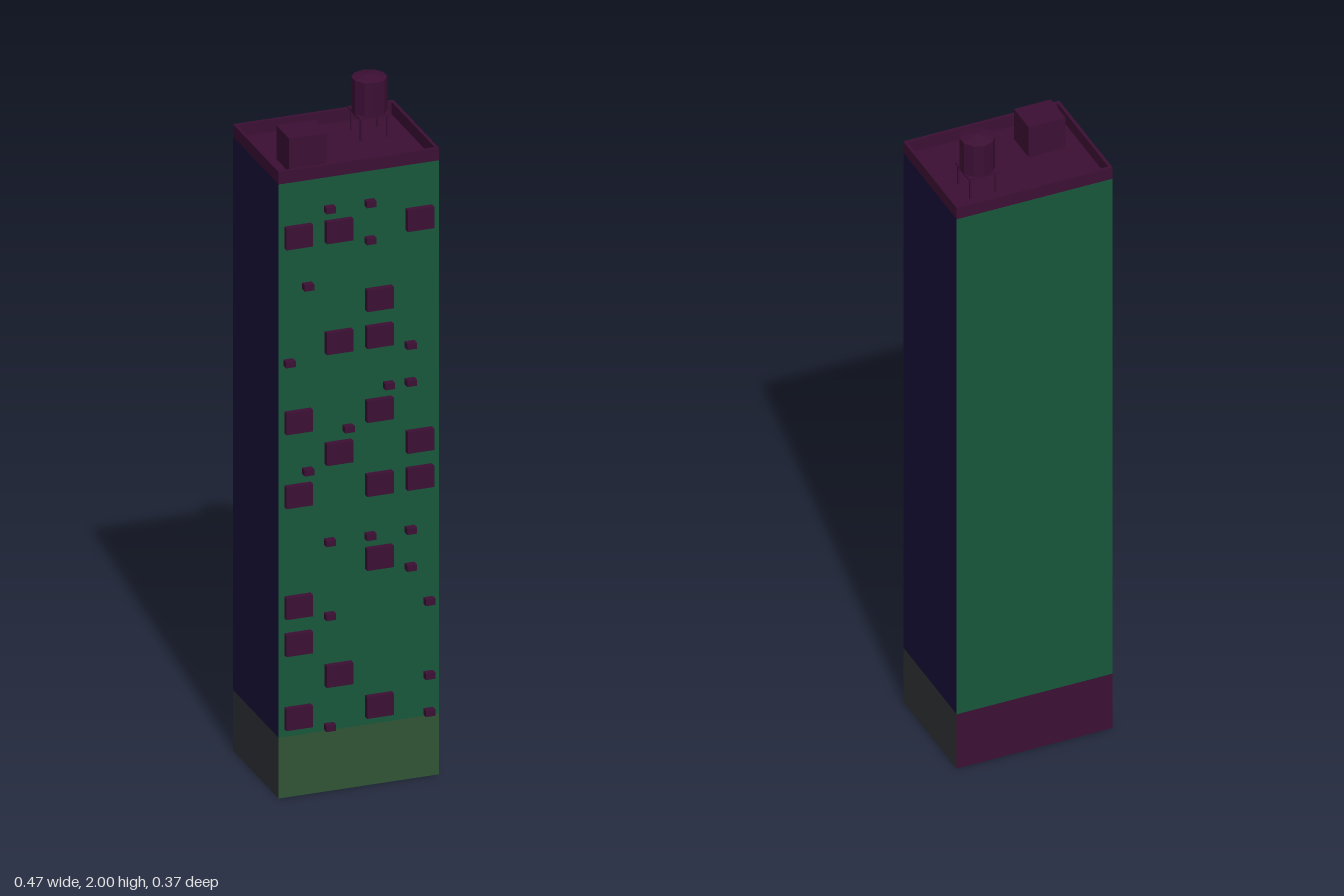
import * as THREE from 'three';

const mat = (color) => new THREE.MeshStandardMaterial({ color, flatShading: true, side: THREE.DoubleSide });

export function createModel() {
  const model = new THREE.Group();
  const green = mat(0x17573a), navy = mat(0x181038), plum = mat(0x3c0f34);
  const olive = mat(0x305434), grey = mat(0x303236);

  const X = 0.233, ZF = 0.163, ZB = -0.186, BASE = 0.18, ROOF = 1.82, TOP = 1.857;
  const depth = ZF - ZB, zMid = (ZF + ZB) / 2;

  const add = (parent, name, geometry, material, x, y, z) => {
    const mesh = new THREE.Mesh(geometry, material);
    mesh.name = name;
    mesh.position.set(x, y, z);
    parent.add(mesh);
    return mesh;
  };
  const box = (parent, name, w, h, d, material, x, y, z) =>
    add(parent, name, new THREE.BoxGeometry(w, h, d), material, x, y, z);
  const group = (name) => {
    const g = new THREE.Group();
    g.name = name;
    model.add(g);
    return g;
  };

  // Four thin outer walls per storey band, open underneath
  const band = (name, y0, y1, front, back, side) => {
    const g = group(name), h = y1 - y0, y = (y0 + y1) / 2;
    add(g, name + 'Front', new THREE.PlaneGeometry(2 * X, h), front, 0, y, ZF);
    add(g, name + 'Back', new THREE.PlaneGeometry(2 * X, h), back, 0, y, ZB).rotation.y = Math.PI;
    for (const s of [-1, 1])
      add(g, name + (s > 0 ? 'Left' : 'Right'), new THREE.PlaneGeometry(depth, h), side, s * X, y, zMid)
        .rotation.y = s * Math.PI / 2;
  };
  band('groundFloor', 0, BASE, olive, plum, grey);
  band('tower', BASE, ROOF, green, green, navy);

  // Flat roof with a thin parapet
  const t = 0.009, ph = TOP - ROOF, py = (TOP + ROOF) / 2;
  const roof = group('roof');
  add(roof, 'roofDeck', new THREE.PlaneGeometry(2 * X, depth), plum, 0, ROOF, zMid).rotation.x = -Math.PI / 2;
  for (const s of [-1, 1]) {
    box(roof, 'parapetSide', t, ph, depth, plum, s * (X - t / 2), py, zMid);
    box(roof, 'parapetEnd', 2 * (X - t), ph, t, plum, 0, py, zMid + s * (depth - t) / 2);
  }

  // Scattered window boxes: floor numbers for each of four columns
  const columnX = (c) => -0.178 + 0.1175 * c;
  const FLOOR = 0.1096;
  const windows = group('windows');
  [[0, 2, 3, 6, 8, 13], [1, 7, 10, 13], [0, 4, 6, 8, 10, 11], [6, 7, 13]].forEach((floors, c) => {
    for (const n of floors)
      box(windows, 'window', 0.077, 0.064, 0.017, plum, columnX(c), 0.236 + FLOOR * n, ZF + 0.0085);
  });

  // Small air conditioners: two slots per column
  const units = group('airConditioners');
  [[10], [7, 12], [0, 3, 5, 14], [8], [5, 13, 14], [9], [4, 5, 9, 10], [0, 1, 3]].forEach((floors, slot) => {
    const x = columnX(Math.floor(slot / 2)) + (slot % 2 ? 0.027 : -0.027);
    for (const n of floors)
      box(units, 'airConditioner', 0.028, 0.018, 0.021, plum, x, 0.194 + FLOOR * n, ZF + 0.0105);
  });

  // Stair house
  box(roof, 'stairHouse', 0.11, 0.1, 0.096, plum, -0.122, ROOF + 0.05, 0.048);

  // Water tank on a four-legged stand
  const tank = group('waterTank');
  tank.position.set(0.12, 0, -0.073);
  add(tank, 'tankBody', new THREE.CylinderGeometry(0.049, 0.049, 0.1, 10), plum, 0, 1.94, 0);
  add(tank, 'tankLid', new THREE.ConeGeometry(0.049, 0.01, 10), plum, 0, 1.995, 0);
  box(tank, 'tankPlatform', 0.091, 0.005, 0.091, plum, 0, 1.8875, 0);
  for (const sx of [-1, 1])
    for (const sz of [-1, 1])
      box(tank, 'tankLeg', 0.006, 0.066, 0.006, plum, sx * 0.038, ROOF + 0.033, sz * 0.038);

  return model;
}
